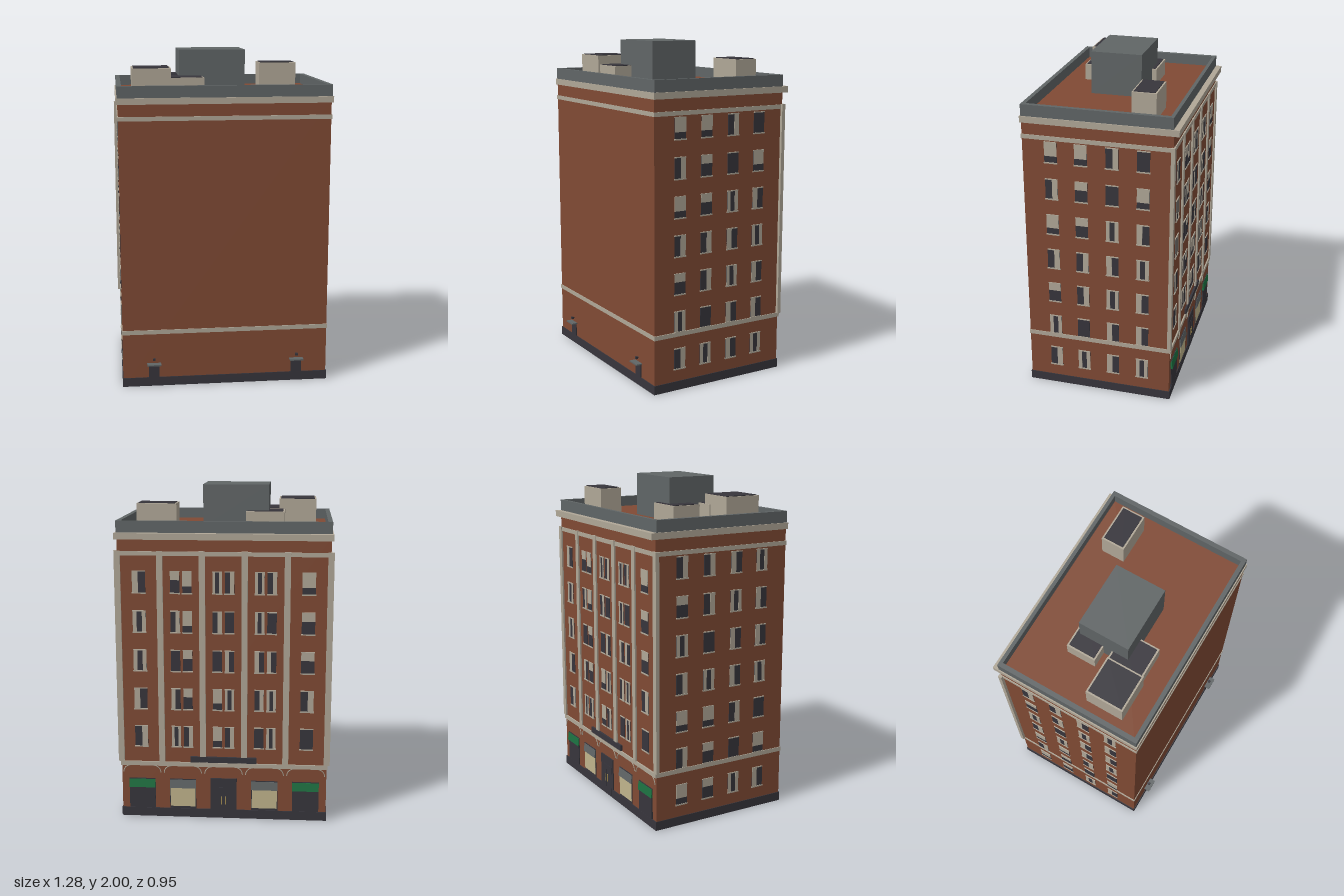
import * as THREE from 'three';

const mat = (name, color) => {
  const m = new THREE.MeshStandardMaterial({ color });
  m.name = name;
  return m;
};

export function createModel() {
  const brick = mat('brick', 0x804a34), stone = mat('stone', 0xb0a797), dark = mat('dark', 0x37353c);
  const grey = mat('grey', 0x606566), green = mat('green', 0x1c7040), cream = mat('cream', 0xc0b48c);
  const brass = mat('brass', 0xa08a50);

  const model = new THREE.Group();
  model.name = 'building';

  // Box given by its limits on each axis
  const box = (parent, name, m, x0, x1, y0, y1, z0, z1) => {
    const mesh = new THREE.Mesh(new THREE.BoxGeometry(x1 - x0, y1 - y0, z1 - z0), m);
    mesh.position.set((x0 + x1) / 2, (y0 + y1) / 2, (z0 + z1) / 2);
    mesh.name = name;
    parent.add(mesh);
    return mesh;
  };
  // Wall frame: x along the wall, y up, z = 0 on the surface facing out
  const wall = (name, angle, x, z) => {
    const g = new THREE.Group();
    g.name = name;
    g.rotation.y = angle;
    g.position.set(x, 0, z);
    model.add(g);
    return g;
  };

  // Main masses, stacked from the ground up
  box(model, 'body', brick, -0.62, 0.62, 0, 1.72, -0.443, 0.433);
  box(model, 'plinth', dark, -0.624, 0.624, 0.001, 0.055, -0.449, 0.438);
  box(model, 'lowerBand', stone, -0.625, 0.625, 0.328, 0.354, -0.452, 0.437);
  box(model, 'upperBand', stone, -0.625, 0.625, 1.61, 1.635, -0.449, 0.437);
  box(model, 'cornice', stone, -0.632, 0.632, 1.705, 1.742, -0.475, 0.44);
  box(model, 'roof', brick, -0.6, 0.6, 1.735, 1.747, -0.42, 0.41);

  // Parapet
  for (const s of [-1, 1]) {
    const a = s < 0 ? -0.625 : 0.598;
    box(model, 'sideParapet', grey, a, a + 0.027, 1.742, 1.81, -0.441, 0.434);
  }
  box(model, 'backParapet', grey, -0.6, 0.6, 1.742, 1.81, -0.441, -0.42);
  box(model, 'frontParapet', grey, -0.6, 0.6, 1.742, 1.81, 0.409, 0.434);

  // Rooftop house and vent boxes with dark lids
  box(model, 'stairHouse', grey, -0.25, 0.145, 1.745, 2, -0.14, 0.165);
  const vents = [
    [-0.535, -0.307, 1.9, 0.07, 0.295], [0.285, 0.52, 1.9, -0.32, -0.178],
    [-0.345, -0.113, 1.843, -0.167, 0.01], [-0.37, -0.11, 1.843, 0.062, 0.282],
  ];
  for (const [x0, x1, top, z0, z1] of vents) {
    box(model, 'roofVent', stone, x0, x1, 1.745, top, z0, z1);
    box(model, 'ventLid', dark, x0 + 0.01, x1 - 0.01, top, top + 0.004, z0 + 0.01, z1 - 0.01);
  }

  // Window: pane, sill, lintel and curtains of a given kind
  const curtains = {
    n: [], t: [[0, 1, 0.33, 1]], s: [[0, 1, 0.6, 1]], l: [[0, 0.45, 0, 1]], r: [[0.55, 1, 0, 1]],
    b: [[0, 0.3, 0, 1], [0.7, 1, 0, 1]],
  };
  const windowUnit = (parent, x, y, w, h, kind) => {
    const g = new THREE.Group();
    g.name = 'window';
    g.position.set(x - w / 2, y - h / 2, 0);
    parent.add(g);
    box(g, 'pane', dark, 0, w, 0, h, -0.002, 0.003);
    box(g, 'sill', stone, -0.003, w + 0.003, -0.004, 0.004, -0.002, 0.006);
    box(g, 'lintel', stone, -0.001, w + 0.001, h - 0.004, h + 0.002, -0.002, 0.005);
    for (const [a, b, c, d] of curtains[kind]) {
      box(g, 'curtain', stone, a * w, b * w, c * h, d * h, 0.002, 0.004);
    }
  };

  // Side walls: seven rows of four windows
  const sideKinds = ['ttrn', 'rsnt', 'tsbl', 'rrlb', 'srbl', 'bnll', 'rblb'];
  const columns = [0.265, 0.088, -0.094, -0.275];
  for (const s of [-1, 1]) {
    const side = wall(s > 0 ? 'rightWall' : 'leftWall', s * Math.PI / 2, s * 0.62, 0);
    sideKinds.forEach((row, r) => columns.forEach((z, c) => {
      const kind = s > 0 ? row[c] : sideKinds[(r + 3) % 7][3 - c];
      windowUnit(side, -s * z, 1.538 - r * 0.2243, 0.074, 0.125, kind);
    }));
  }

  // Street wall at the back: pilasters between five bays
  const street = wall('streetWall', Math.PI, 0, -0.443);
  const bay = 0.248;
  for (let i = 0; i < 6; i++) {
    const x = (i - 2.5) * bay;
    box(street, 'pilaster', stone, x - 0.018, x + 0.018, 0.354, 1.638, -0.012, 0.01);
    // Curved brackets under the band
    for (const s of [-1, 1]) {
      if (Math.abs(x + s * 0.1) > 0.6) continue;
      const arm = new THREE.Mesh(new THREE.TorusGeometry(0.045, 0.003, 4, 8, Math.PI / 2), stone);
      arm.name = 'bracket';
      arm.position.set(x + s * 0.055, 0.283, 0.004);
      arm.rotation.y = s > 0 ? Math.PI : 0;
      arm.position.z = 0.004;
      street.add(arm);
    }
  }

  // Street windows: one per outer bay, a close pair in the inner bays
  const streetKinds = 'lnbtrslnrbtlsnrb';
  let k = 0;
  for (let r = 0; r < 5; r++) {
    const y = 1.455 - r * 0.235;
    for (let b = -2; b <= 2; b++) {
      const pair = Math.abs(b) < 2;
      for (const dx of pair ? [-0.036, 0.036] : [0]) {
        windowUnit(street, b * bay + dx, y, pair ? 0.055 : 0.078, 0.13, streetKinds[(k++ * 5 + r) % 16]);
      }
    }
  }

  // Shopfronts: green awnings outside, grey awnings over cream windows inside
  for (const b of [-2, -1, 1, 2]) {
    const x = b * bay, outer = Math.abs(b) === 2;
    box(street, 'shopFrame', dark, x - 0.08, x + 0.08, 0.056, 0.245, -0.002, 0.004);
    box(street, 'shopWindow', outer ? dark : cream, x - 0.076, x + 0.076, outer ? 0.056 : 0.07, 0.19, 0, 0.006);
    const awning = box(street, 'awning', outer ? green : grey, x - 0.08, x + 0.08, 0.188, 0.24, 0, 0.012);
    // Slope the awning by pulling its top edge to the wall
    const p = awning.geometry.attributes.position;
    for (let i = 0; i < p.count; i++) if (p.getY(i) > 0 && p.getZ(i) > 0) p.setZ(i, 0);
    awning.geometry.computeVertexNormals();
  }

  // Main entrance with double doors and a long canopy above
  box(street, 'entranceFrame', dark, -0.08, 0.08, 0.002, 0.255, -0.002, 0.007);
  for (const s of [-1, 1]) {
    box(street, 'doorLeaf', dark, s * 0.033 - 0.03, s * 0.033 + 0.03, 0.01, 0.2, 0.004, 0.009);
    box(street, 'doorHandle', brass, s * 0.012 - 0.003, s * 0.012 + 0.003, 0.09, 0.14, 0.008, 0.012);
  }
  box(street, 'canopy', dark, -0.2, 0.2, 0.357, 0.392, -0.002, 0.013);

  // Plain wall: two service doors with hoods and lamps
  const plain = wall('plainWall', 0, 0, 0.433);
  for (const s of [-1, 1]) {
    const x = s * 0.434;
    box(plain, 'serviceDoor', dark, x - 0.032, x + 0.032, 0.055, 0.137, -0.002, 0.005);
    box(plain, 'doorHood', grey, x - 0.042, x + 0.042, 0.137, 0.145, -0.002, 0.038);
    box(plain, 'lampArm', dark, x - 0.003, x + 0.003, 0.17, 0.174, -0.002, 0.02);
    box(plain, 'lamp', dark, x - 0.008, x + 0.008, 0.165, 0.178, 0.008, 0.022);
  }
  return model;
}
